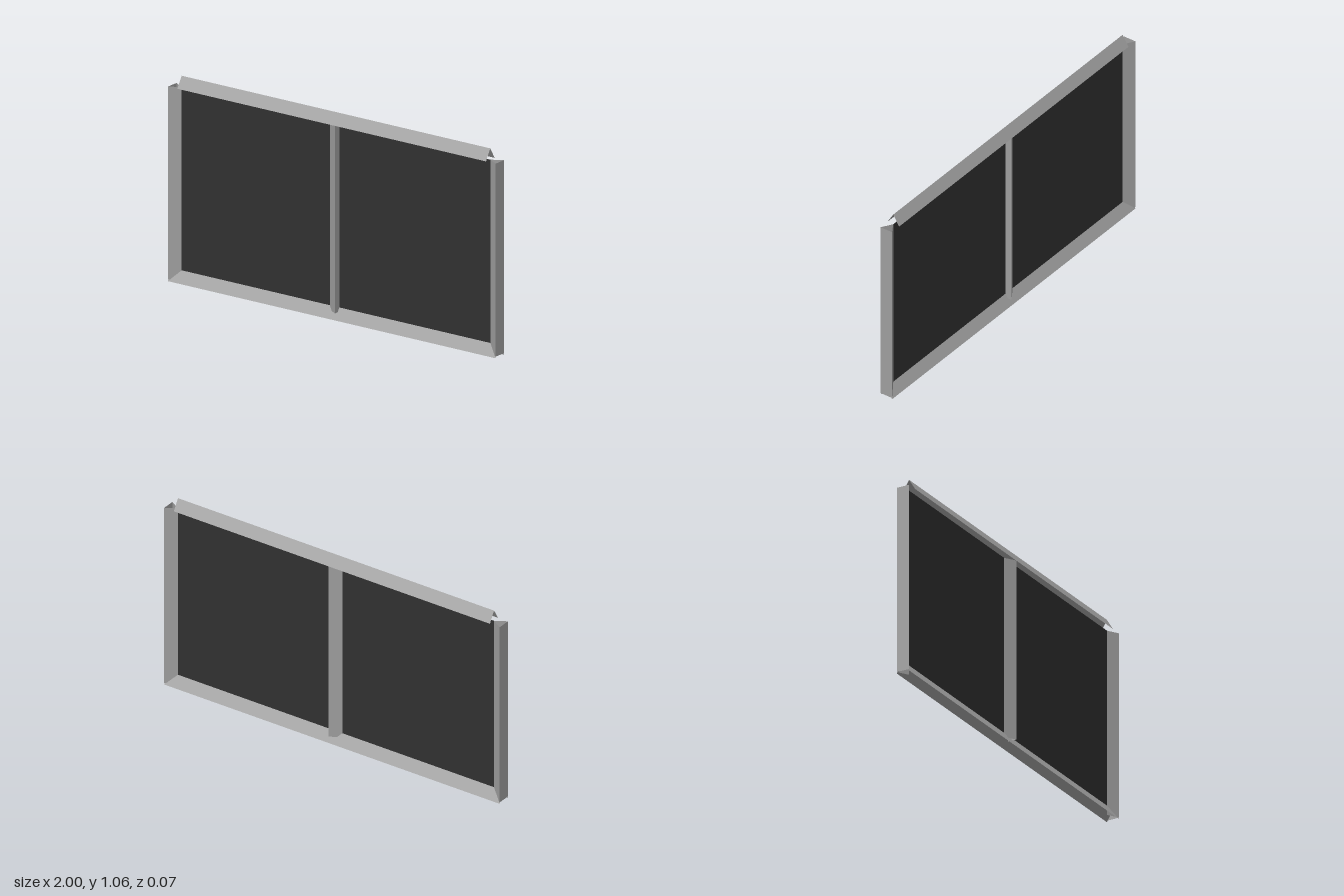
import * as THREE from 'three';

const W = 0.058; // bar width, base to ridge
const D = 0.035; // half depth of a bar

// Sheet bar along local y: ridge at x = -W, base edges at x = 0, z = +-D, ends open
function barGeometry(y0, y1, closedBase) {
  const section = [[0, D], [-W, 0], [0, -D]];
  const count = closedBase ? 3 : 2;
  const pos = [];
  for (let i = 0; i < count; i++) {
    const [ax, az] = section[i];
    const [bx, bz] = section[(i + 1) % 3];
    pos.push(ax, y0, az, ax, y1, az, bx, y1, bz);
    pos.push(ax, y0, az, bx, y1, bz, bx, y0, bz);
  }
  const geo = new THREE.BufferGeometry();
  geo.setAttribute('position', new THREE.Float32BufferAttribute(pos, 3));
  geo.computeVertexNormals();
  return geo;
}

export function createModel() {
  const group = new THREE.Group();
  const metal = new THREE.MeshStandardMaterial({ color: 0x9e9e9e, side: THREE.DoubleSide });
  metal.name = 'grey metal';
  const dark = new THREE.MeshStandardMaterial({ color: 0x303030, side: THREE.DoubleSide });
  dark.name = 'dark panel';

  const add = (name, geo, mat, x = 0, y = 0) => {
    const mesh = new THREE.Mesh(geo, mat);
    mesh.name = name;
    mesh.position.set(x, y, 0);
    group.add(mesh);
    return mesh;
  };

  // Flat sheet filling the frame
  add('panel', new THREE.PlaneGeometry(2 * (1 - W), 1 - W), dark, 0, (1 + W) / 2);

  // Side posts, flat face outward and ridge inward
  add('leftPost', barGeometry(0.008, 1, true), metal, 1);
  add('rightPost', barGeometry(0.008, 1, true), metal, -1).rotation.y = Math.PI;

  // Centre post
  add('centrePost', barGeometry(0.036, 1, true), metal, 0.02);

  // Rails, open underneath with the ridge upward
  add('bottomRail', barGeometry(-1, 1, false), metal).rotation.z = -Math.PI / 2;
  add('topRail', barGeometry(-1 + W, 1 - W, false), metal, 0, 1).rotation.z = -Math.PI / 2;

  return group;
}
